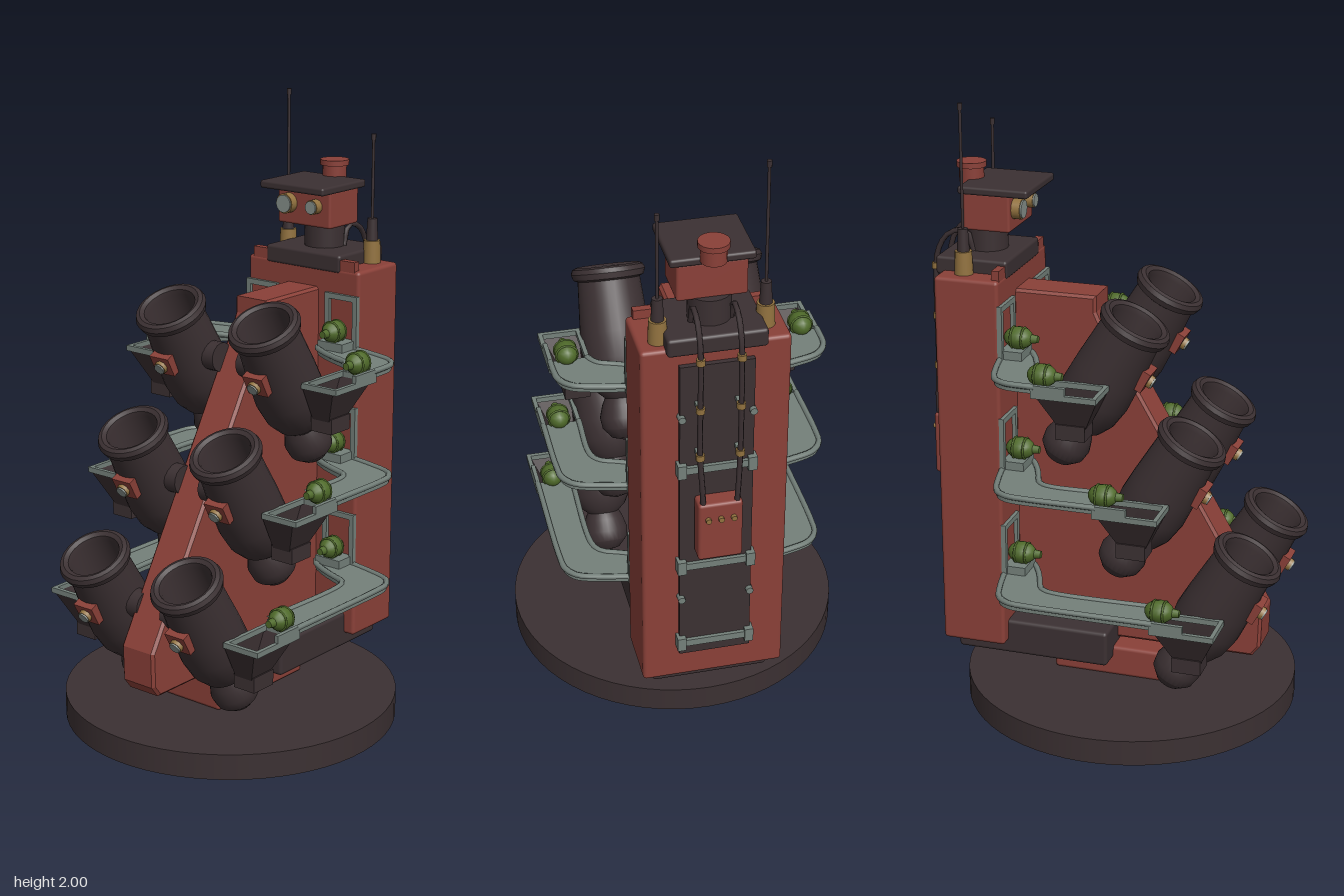
import * as THREE from 'three';
import { toCreasedNormals } from 'three/addons/utils/BufferGeometryUtils.js';
import { RoundedBoxGeometry } from 'three/addons/geometries/RoundedBoxGeometry.js';

const mat = (name, color, side = THREE.FrontSide) => {
  const m = new THREE.MeshStandardMaterial({ color, side });
  m.name = name;
  return m;
};

export function createModel() {
  const root = new THREE.Group();
  root.name = 'mortarTower';
  const red = mat('rustRed', 0x8a4038);
  const dark = mat('darkIron', 0x3b3032, THREE.DoubleSide);
  const grey = mat('bracketGrey', 0x74807a);
  const brass = mat('brass', 0x92723f);
  const green = mat('grenadeGreen', 0x4f6a2a);
  const glass = mat('lensGrey', 0x868f8a);

  const add = (name, geo, m, x = 0, y = 0, z = 0, parent = root) => {
    const mesh = new THREE.Mesh(geo, m);
    mesh.name = name;
    mesh.position.set(x, y, z);
    parent.add(mesh);
    return mesh;
  };
  // Box given by its limits on each axis
  const box = (name, m, [x0, x1], [y0, y1], [z0, z1], parent = root, r = 0) => {
    const s = [Math.abs(x1 - x0), y1 - y0, Math.abs(z1 - z0)];
    const geo = r ? new RoundedBoxGeometry(...s, 2, r) : new THREE.BoxGeometry(...s);
    return add(name, geo, m, (x0 + x1) / 2, (y0 + y1) / 2, (z0 + z1) / 2, parent);
  };
  const cyl = (name, m, r0, r1, h, x, y, z, axis = 'y', parent = root, n = 20) => {
    const geo = new THREE.CylinderGeometry(r0, r1, h, n);
    if (axis === 'x') geo.rotateZ(Math.PI / 2);
    if (axis === 'z') geo.rotateX(Math.PI / 2);
    return add(name, geo, m, x, y, z, parent);
  };
  const tube = (name, m, pts, r, parent = root) => add(name, new THREE.TubeGeometry(
    new THREE.CatmullRomCurve3(pts.map(p => new THREE.Vector3(...p)), false, 'centripetal'), 28, r, 6), m, 0, 0, 0, parent);

  // Base and pedestal
  cyl('baseDisc', dark, 0.55, 0.55, 0.085, 0, 0.0425, 0.065, 'y', root, 64);
  box('pedestal', red, [-0.117, 0.117], [0.085, 0.19], [-0.17, 0.265], root, 0.012);
  box('underframe', dark, [-0.19, 0.19], [0.15, 0.27], [-0.485, 0.035], root, 0.012);

  // Rear tower and its top
  box('tower', red, [-0.23, 0.23], [0.195, 1.455], [-0.523, -0.308], root, 0.012);
  box('towerTopTrim', red, [-0.21, 0.21], [1.44, 1.485], [-0.335, -0.31]);
  box('turntablePlate', dark, [-0.153, 0.153], [1.44, 1.5], [-0.545, -0.305], root, 0.01);

  // Sloped central fin
  const fin = new THREE.Shape([[-0.32, 0.21], [0.49, 0.21], [0.513, 0.24], [0.516, 0.35], [-0.03, 1.29],
    [-0.048, 1.33], [-0.048, 1.377], [-0.32, 1.377]].map(p => new THREE.Vector2(...p)));
  const finGeo = new THREE.ExtrudeGeometry(fin, { depth: 0.116, bevelSize: 0.009, bevelThickness: 0.009, bevelSegments: 1 });
  finGeo.translate(0, 0, -0.058).rotateY(-Math.PI / 2);
  add('centralFin', finGeo, red);

  // Lookout head
  cyl('neck', dark, 0.067, 0.067, 0.09, 0, 1.54, -0.425);
  box('head', red, [-0.108, 0.108], [1.58, 1.702], [-0.465, -0.31], root, 0.008);
  box('visor', dark, [-0.13, 0.13], [1.7, 1.726], [-0.475, -0.242], root, 0.008);
  cyl('hatchStem', red, 0.04, 0.04, 0.055, 0, 1.74, -0.475);
  cyl('hatchCap', red, 0.048, 0.048, 0.018, 0, 1.77, -0.475);
  for (const [x, r] of [[-0.06, 0.033], [0.052, 0.024]]) {
    cyl('eyeRing', brass, r, r, 0.03, x, 1.65, -0.297, 'z');
    cyl('eyeLens', glass, r * 0.88, r * 0.88, 0.006, x, 1.65, -0.28, 'z');
  }

  // Antennas
  for (const [x, z, top] of [[-0.168, -0.443, 2], [0.165, -0.465, 1.88]]) {
    cyl('antennaSocket', brass, 0.027, 0.03, 0.08, x, 1.49, z);
    cyl('antennaGrip', dark, 0.016, 0.02, 0.075, x, 1.565, z);
    cyl('antennaRod', dark, 0.005, 0.005, top - 1.6, x, (top + 1.6) / 2, z, 'y', root, 8);
    cyl('antennaTip', dark, 0.008, 0.008, 0.02, x, top - 0.01, z, 'y', root, 8);
  }

  // Back panel, bars, junction box and cables
  box('backPanel', dark, [-0.115, 0.115], [0.3, 1.4], [-0.54, -0.52]);
  for (const y of [1.03, 0.66, 0.35]) {
    box('backBar', grey, [-0.12, 0.12], [y - 0.012, y + 0.012], [-0.552, -0.538]);
    for (const x of [-0.11, 0.11]) box('barLug', grey, [x - 0.014, x + 0.014], [y - 0.024, y + 0.024], [-0.558, -0.52]);
  }
  for (const y of [1.22, 0.53]) for (const x of [-0.11, 0.11]) {
    cyl('panelBolt', grey, 0.012, 0.012, 0.03, x, y, -0.54, 'z', root, 8);
  }
  box('junctionBox', red, [-0.07, 0.07], [0.72, 0.93], [-0.602, -0.538], root, 0.01);
  for (const x of [-0.04, 0, 0.04]) cyl('junctionBolt', brass, 0.009, 0.009, 0.014, x, 0.875, -0.607, 'z', root, 10);
  for (const x of [-0.062, 0.062]) {
    tube('cable', dark, [[x, 1.5, -0.45], [x, 1.565, -0.475], [x, 1.55, -0.535], [x, 1.49, -0.573],
      [x, 1.38, -0.582], [x, 1.1, -0.582], [x * 0.9, 0.98, -0.59], [x * 0.85, 0.91, -0.588]], 0.009);
    for (const y of [1.44, 1.27, 1.1]) {
      cyl('cableClip', brass, 0.014, 0.014, 0.02, x, y, -0.581, 'y', root, 10);
      if (y < 1.4) box('clipFoot', grey, [x - 0.008, x + 0.008], [y - 0.006, y + 0.006], [-0.575, -0.535]);
    }
  }

  // Mortar: closed profile from the breech ball, over the lip, into the bore
  const profile = [[0, -0.56], [0.045, -0.547], [0.073, -0.515], [0.078, -0.48], [0.066, -0.44], [0.055, -0.418],
    [0.08, -0.395], [0.103, -0.35], [0.114, -0.28], [0.111, -0.2], [0.1, -0.04], [0.113, -0.034], [0.119, -0.015],
    [0.113, 0], [0.1, 0.005], [0.086, -0.002], [0.082, -0.02], [0.08, -0.3], [0, -0.31]];
  const mortarGeo = toCreasedNormals(new THREE.LatheGeometry(profile.map(p => new THREE.Vector2(...p)), 28), 0.6);
  const addMortar = (x, y, z, s) => {
    const g = new THREE.Group();
    g.name = 'mortar';
    g.position.set(x, y, z);
    g.rotation.x = 0.5;
    root.add(g);
    add('barrel', mortarGeo, dark, 0, 0, 0, g);
    cyl('trunnion', dark, 0.048, 0.048, 0.09, -s * 0.1, -0.185, 0, 'x', g, 16);
    box('sightBlock', red, [-0.039, 0.039], [-0.185, -0.115], [0.06, 0.125], g);
    cyl('sightRing', brass, 0.022, 0.022, 0.016, 0, -0.15, 0.13, 'z', g, 8);
    cyl('sightLens', glass, 0.019, 0.019, 0.008, 0, -0.15, 0.139, 'z', g, 8);
  };

  // Grenade lying along z, with raised bands
  const shell = new THREE.SphereGeometry(0.037, 12, 10).rotateX(Math.PI / 2).scale(1, 1, 1.3);
  const addGrenade = (x, y, z) => {
    const g = new THREE.Group();
    g.name = 'grenade';
    g.position.set(x, y, z);
    root.add(g);
    add('grenadeBody', shell, green, 0, 0, 0, g);
    for (const dz of [-0.018, 0.018]) add('grenadeBand', new THREE.TorusGeometry(0.034, 0.004, 5, 16), green, 0, 0, dz, g);
    cyl('grenadeCap', green, 0.012, 0.015, 0.022, 0, 0, 0.054, 'z', g, 10);
  };

  // Side arm: curved plate with raised lips, then an open hopper in a rail frame
  const addArm = (s, y, zEnd) => {
    const g = new THREE.Group();
    g.name = 'sideArm';
    root.add(g);
    const zp = zEnd - 0.2;
    const outer = [[0.23, -0.305], [0.31, -0.288], [0.39, -0.262], [0.423, -0.22], [0.43, -0.16]];
    const inner = [[0.312, -0.12], [0.29, -0.155], [0.23, -0.18], [0.165, -0.21], [0.11, -0.25], [0.1, -0.305]];
    const smooth = pts => new THREE.SplineCurve(pts.map(([px, pz]) => new THREE.Vector2(px * s, -pz))).getPoints(14);
    const shape = new THREE.Shape([...smooth(outer), new THREE.Vector2(0.43 * s, -zp - 0.001),
      new THREE.Vector2(0.312 * s, -zp - 0.001), ...smooth(inner)]);
    const plate = new THREE.ExtrudeGeometry(shape, { depth: 0.022, bevelEnabled: false }).rotateX(-Math.PI / 2);
    add('armPlate', plate, grey, 0, y - 0.022, 0, g);
    const lip = pts => pts.map(([px, pz]) => [px * s, y, pz]);
    tube('outerLip', grey, lip([...outer, [0.43, zp + 0.001]]), 0.01, g);
    tube('innerLip', grey, lip([[0.312, zp + 0.001], ...inner]), 0.01, g);
    // Rails around the hopper mouth
    for (const x of [0.307, 0.429]) {
      box('hopperRail', grey, [s * (x - 0.007), s * (x + 0.007)], [y - 0.036, y - 0.018], [zp - 0.01, zEnd], g);
    }
    for (const z of [zp - 0.003, zEnd - 0.007]) {
      box('hopperCrossRail', grey, [s * 0.3, s * 0.436], [y - 0.036, y - 0.018], [z - 0.007, z + 0.007], g);
    }
    box('railRiser', grey, [s * 0.422, s * 0.436], [y - 0.03, y + 0.006], [zp - 0.01, zEnd - 0.1], g);
    // Hopper walls: an open box narrowed toward the bottom
    const hopper = new THREE.BoxGeometry(0.12, 0.115, 0.2).toNonIndexed();
    const cut = name => {
      const a = hopper.attributes[name], n = a.itemSize;
      const kept = [...a.array.slice(0, 12 * n), ...a.array.slice(18 * n)];
      hopper.setAttribute(name, new THREE.BufferAttribute(new Float32Array(kept), n));
    };
    ['position', 'normal', 'uv'].forEach(cut);
    hopper.clearGroups();
    const p = hopper.attributes.position;
    for (let i = 0; i < p.count; i++) {
      if (p.getY(i) > 0) continue;
      if (p.getX(i) * s > 0) p.setX(i, s * 0.005);
      p.setZ(i, p.getZ(i) * 0.45);
    }
    hopper.computeVertexNormals();
    add('hopper', hopper, dark, s * 0.363, y - 0.088, zEnd - 0.1, g);
    box('hopperFoot', dark, [s * 0.297, s * 0.378], [y - 0.185, y - 0.135], [zEnd - 0.15, zEnd - 0.055], g);
    // Mounting frame on the tower face
    for (const x of [0.11, 0.222]) box('framePost', grey, [s * (x - 0.009), s * (x + 0.009)], [y - 0.025, y + 0.175], [-0.312, -0.296], g);
    for (const fy of [y - 0.016, y + 0.166]) box('frameBar', grey, [s * 0.1, s * 0.231], [fy - 0.009, fy + 0.009], [-0.312, -0.296], g);
    addGrenade(s * 0.378, y + 0.022, zEnd - 0.19);
    box('grenadeShelf', grey, [s * 0.12, s * 0.22], [y, y + 0.028], [-0.31, -0.235], g);
    addGrenade(s * 0.168, y + 0.06, -0.262);
  };

  // Three tiers on both sides
  const tiers = [[1.363, 0.138, 1.2, 0.08], [0.995, 0.325, 0.825, 0.275], [0.622, 0.512, 0.455, 0.46]];
  for (const s of [-1, 1]) for (const [my, mz, ay, az] of tiers) {
    addMortar(s * 0.193, my, mz, s);
    addArm(s, ay, az);
  }
  return root;
}
